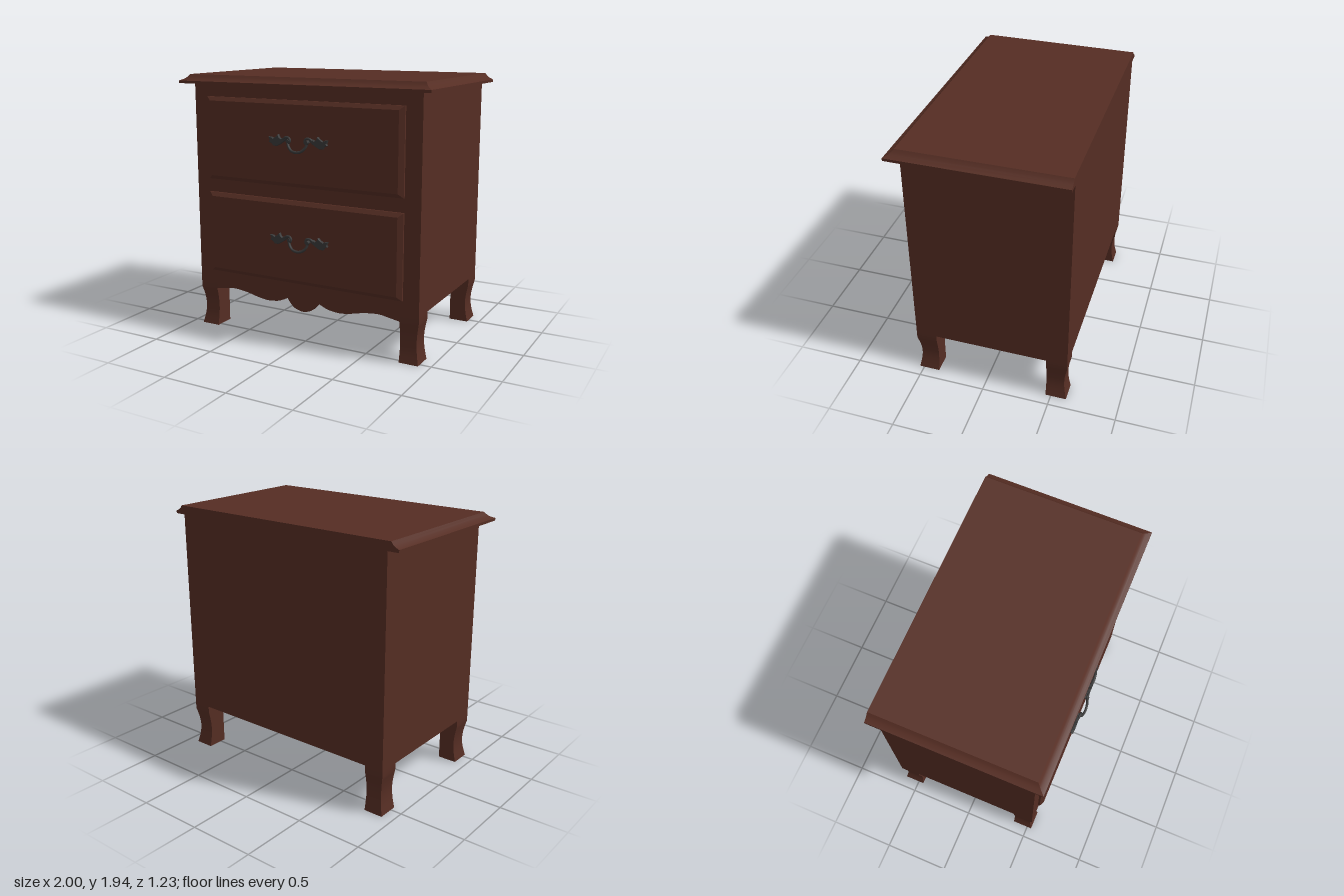
import * as THREE from 'three';
import { toCreasedNormals } from 'three/addons/utils/BufferGeometryUtils.js';

const wood = new THREE.MeshStandardMaterial({ color: 0x552d23 });
wood.name = 'dark wood';
const iron = new THREE.MeshStandardMaterial({ color: 0x383838 });
iron.name = 'dark iron';

function add(parent, name, geometry, material) {
  const mesh = new THREE.Mesh(geometry, material);
  mesh.name = name;
  parent.add(mesh);
  return mesh;
}

// Closed solid from rectangular cross-sections [y, x0, x1, z0, z1], lowest first
function stack(levels) {
  const rings = levels.map(([y, x0, x1, z0, z1]) =>
    [[x0, y, z1], [x1, y, z1], [x1, y, z0], [x0, y, z0]]);
  const pos = [];
  const quad = (a, b, c, d) => pos.push(...a, ...b, ...c, ...a, ...c, ...d);
  for (let i = 0; i < rings.length - 1; i++) {
    const lo = rings[i], hi = rings[i + 1];
    for (let k = 0; k < 4; k++) quad(lo[k], lo[(k + 1) % 4], hi[(k + 1) % 4], hi[k]);
  }
  const first = rings[0], last = rings[rings.length - 1];
  quad(last[0], last[1], last[2], last[3]);
  quad(first[3], first[2], first[1], first[0]);
  const g = new THREE.BufferGeometry();
  g.setAttribute('position', new THREE.Float32BufferAttribute(pos, 3));
  return toCreasedNormals(g, 0.4);
}

// Square leg whose two outer faces curve inward; inner faces stay straight
function legGeometry(sx, front) {
  const levels = [];
  for (let i = 0; i <= 14; i++) {
    const y = 0.3 * i / 14;
    const waist = 0.022 * Math.sin(Math.PI * y / 0.3);
    levels.push(legLevel(sx, front, y, waist));
  }
  levels.push(legLevel(sx, front, 0.36, 0));
  return stack(levels);
}
function legLevel(sx, front, y, waist) {
  const xs = [sx * 0.77, sx * (0.915 - waist)].sort((a, b) => a - b);
  const zs = front ? [0.38, 0.535 - waist] : [-0.615 + waist, -0.46];
  return [y, ...xs, ...zs];
}

// Scalloped board under the lower drawer
function apronGeometry() {
  const half = [[0.77, 0.3], [0.7, 0.312], [0.61, 0.325], [0.5, 0.315], [0.4, 0.293],
    [0.31, 0.28], [0.22, 0.288], [0.17, 0.305], [0.13, 0.325]];
  const lobe = [[0.13, 0.325], [0.105, 0.29], [0.065, 0.256], [0, 0.24],
    [-0.065, 0.256], [-0.105, 0.29], [-0.13, 0.325]];
  const v = (p) => p.map(([x, y]) => new THREE.Vector2(x, y));
  const shape = new THREE.Shape();
  shape.moveTo(-0.77, 0.36);
  shape.lineTo(0.77, 0.36);
  shape.lineTo(0.77, 0.3);
  shape.splineThru(v(half.slice(1)));
  shape.splineThru(v(lobe.slice(1)));
  shape.splineThru(v(half.map(([x, y]) => [-x, y]).reverse().slice(1)));
  const g = new THREE.ExtrudeGeometry(shape, { depth: 0.04, bevelEnabled: false, curveSegments: 30 });
  g.translate(0, 0, 0.495);
  return toCreasedNormals(g, 0.5);
}

function tube(points, radius) {
  const curve = new THREE.CatmullRomCurve3(points.map((p) => new THREE.Vector3(...p)));
  return new THREE.TubeGeometry(curve, 28, radius, 8);
}

// Hanging handle between two leaf plates, origin on the drawer face
function makeHandle() {
  const handle = new THREE.Group();
  handle.name = 'handle';
  add(handle, 'bail', tube([[-0.078, -0.005, 0.022], [-0.066, -0.03, 0.028], [-0.04, -0.055, 0.036],
    [0, -0.064, 0.04], [0.04, -0.055, 0.036], [0.066, -0.03, 0.028], [0.078, -0.005, 0.022]], 0.01), iron);
  const outline = [[0.09, 0.026], [0.115, 0.03], [0.135, 0.018], [0.15, 0.028], [0.16, 0.048],
    [0.175, 0.034], [0.2, 0.018], [0.218, 0.028], [0.236, 0.03], [0.226, 0.008], [0.232, -0.004],
    [0.21, -0.012], [0.2, -0.028], [0.172, -0.028], [0.145, -0.014], [0.115, 0.006]];
  for (const s of [1, -1]) {
    const shape = new THREE.Shape(outline.map(([x, y]) => new THREE.Vector2(s * x, y)));
    const leaf = new THREE.ExtrudeGeometry(shape, {
      depth: 0.01, bevelThickness: 0.007, bevelSize: 0.003, bevelSegments: 2 });
    add(handle, 'leafPlate', leaf, iron).position.z = 0.005;
    add(handle, 'scroll', tube([[s * 0.12, 0.018, 0.014], [s * 0.098, 0.034, 0.018], [s * 0.072, 0.034, 0.02],
      [s * 0.06, 0.014, 0.022], [s * 0.072, -0.004, 0.022], [s * 0.088, 0.008, 0.022]], 0.009), iron);
    const post = new THREE.CylinderGeometry(0.012, 0.014, 0.034, 12).rotateX(Math.PI / 2);
    add(handle, 'post', post, iron).position.set(s * 0.076, 0.01, 0.017);
  }
  return handle;
}

export function createModel() {
  const model = new THREE.Group();
  model.name = 'nightstand';

  // Cabinet box
  add(model, 'cabinet', new THREE.BoxGeometry(1.83, 1.525, 1.15), wood).position.set(0, 1.1125, -0.04);

  // Table top: moulded on the front and sides, flush at the back
  const profile = [[0, 1.875], [0, 1.894], [0.032, 1.909], [0.048, 1.924], [0.06, 1.94]];
  add(model, 'tableTop', stack(profile.map(([inset, y]) =>
    [y, -1 + inset, 1 - inset, -0.615, 0.615 - inset])), wood);

  // Legs and apron
  for (const sx of [1, -1]) {
    add(model, 'frontLeg', legGeometry(sx, true), wood);
    add(model, 'backLeg', legGeometry(sx, false), wood);
  }
  add(model, 'apron', apronGeometry(), wood);

  // Raised drawer fronts with bevelled borders, each with a handle
  for (const y of [1.475, 0.76]) {
    const drawer = new THREE.Group();
    drawer.name = 'drawer';
    drawer.position.set(0, y, 0.535);
    const panel = stack([[-0.01, 0], [0.015, 0], [0.035, 0.036]].map(([d, inset]) =>
      [d, -0.795 + inset, 0.795 - inset, -0.307 + inset * 0.8, 0.307 - inset * 0.8]));
    add(drawer, 'drawerFront', panel.rotateX(Math.PI / 2), wood);
    const handle = makeHandle();
    handle.position.set(0, 0.015, 0.035);
    drawer.add(handle);
    model.add(drawer);
  }
  return model;
}
